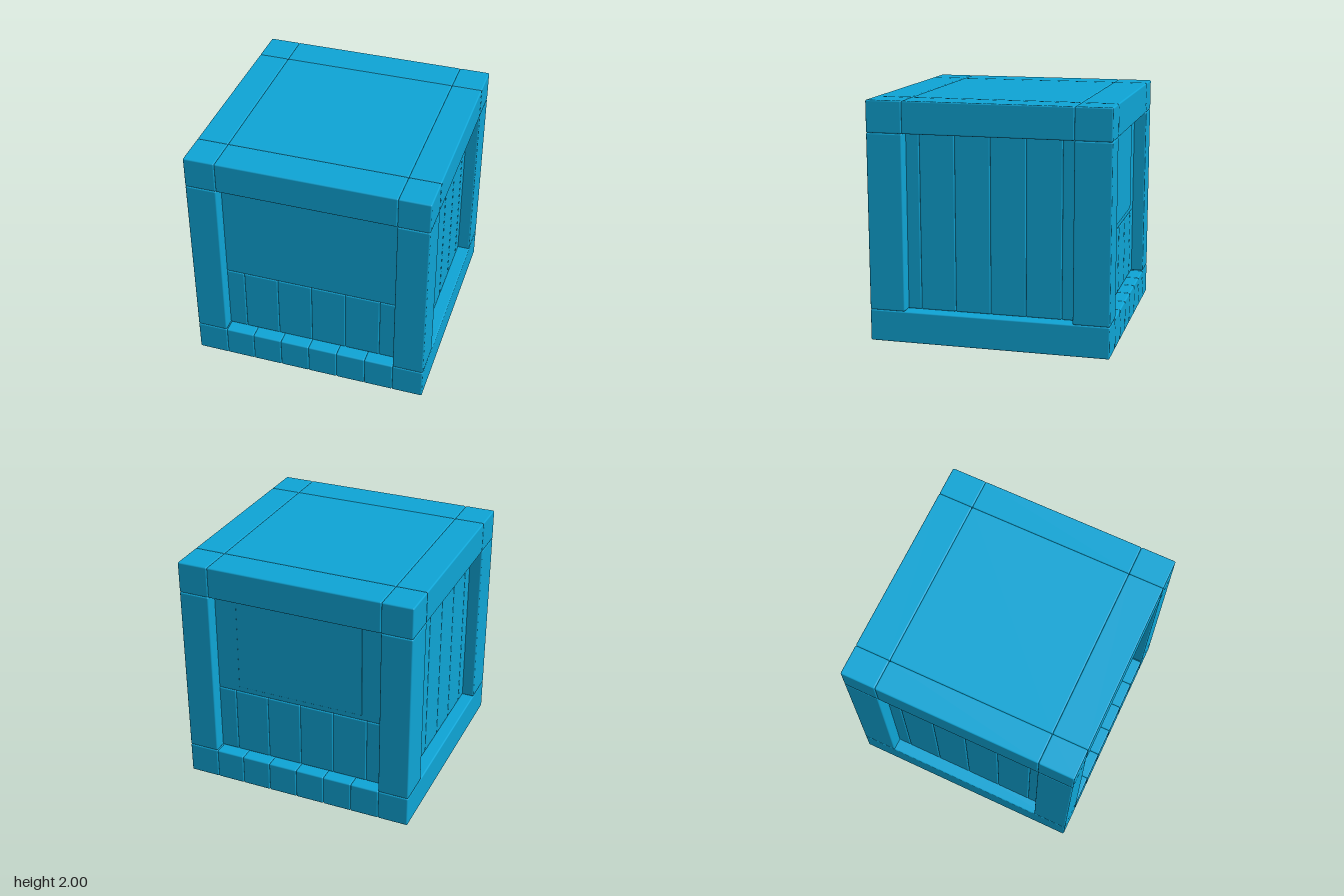
import * as THREE from 'three';
import { RoundedBoxGeometry } from 'three/addons/geometries/RoundedBoxGeometry.js';

const BEVEL = 0.012;
const POST_X = 0.74, POST_Z = 0.7; // inner faces of the corner posts
const BASE = 0.265, LID = 1.735; // top of the floor, underside of the top frame
const FACE = 0.895, THICK = 0.1; // recessed wall surface and board thickness
const SILL = 0.845; // top of the short front and back planks

export function createModel() {
  const crate = new THREE.Group();
  crate.name = 'crate';
  const paint = new THREE.MeshStandardMaterial({ color: 0x0ea5d6 });

  // Bevelled board given by its extents on each axis
  function board(name, [x0, x1], [y0, y1], [z0, z1], bevel = BEVEL) {
    const mesh = new THREE.Mesh(new RoundedBoxGeometry(x1 - x0, y1 - y0, z1 - z0, 2, bevel), paint);
    mesh.position.set((x0 + x1) / 2, (y0 + y1) / 2, (z0 + z1) / 2);
    mesh.name = name;
    crate.add(mesh);
  }
  // Range from a to b on the chosen side of the axis
  const span = (side, a, b) => (side > 0 ? [a, b] : [-b, -a]);

  // Floor planks running front to back
  const seams = [-1, -POST_X, -0.495, -0.248, 0, 0.248, 0.495, POST_X, 1];
  for (let i = 0; i < 8; i++) board('floorPlank', [seams[i], seams[i + 1]], [0, BASE], [-1, 1]);

  // Corner posts with their cap blocks
  for (const sx of [-1, 1]) {
    for (const sz of [-1, 1]) {
      board('cornerPost', span(sx, POST_X, 1), [BASE, LID], span(sz, POST_Z, 1));
      board('cornerBlock', span(sx, POST_X, 1), [LID, 2], span(sz, POST_Z, 1));
    }
  }

  for (const s of [-1, 1]) {
    // Top frame rails
    board('endRail', [-POST_X, POST_X], [LID, 2], span(s, POST_Z, 1));
    board('sideRail', span(s, POST_X, 1), [LID, 2], [-POST_Z, POST_Z]);

    // Upright planks: full height on the sides, short at front and back
    for (let i = -3; i < 3; i++) {
      const width = [i * 0.295, (i + 1) * 0.295];
      board('sidePlank', span(s, FACE - THICK, FACE), [BASE, LID + 0.01], width);
      board('endPlank', width, [BASE, SILL], span(s, FACE - THICK, FACE));
    }

    // Large panel above the short planks
    board('endPanel', [-0.885, 0.885], [SILL, LID + 0.01], span(s, FACE - THICK, FACE));
  }

  // Lid panel
  board('lidPanel', [-POST_X, POST_X], [LID, 2], [-POST_Z, POST_Z]);

  // Thin plate on the back panel
  board('backPlate', [-0.55, 0.55], [0.895, 1.725], [-FACE - 0.008, -FACE + 0.03], 0.006);

  return crate;
}
